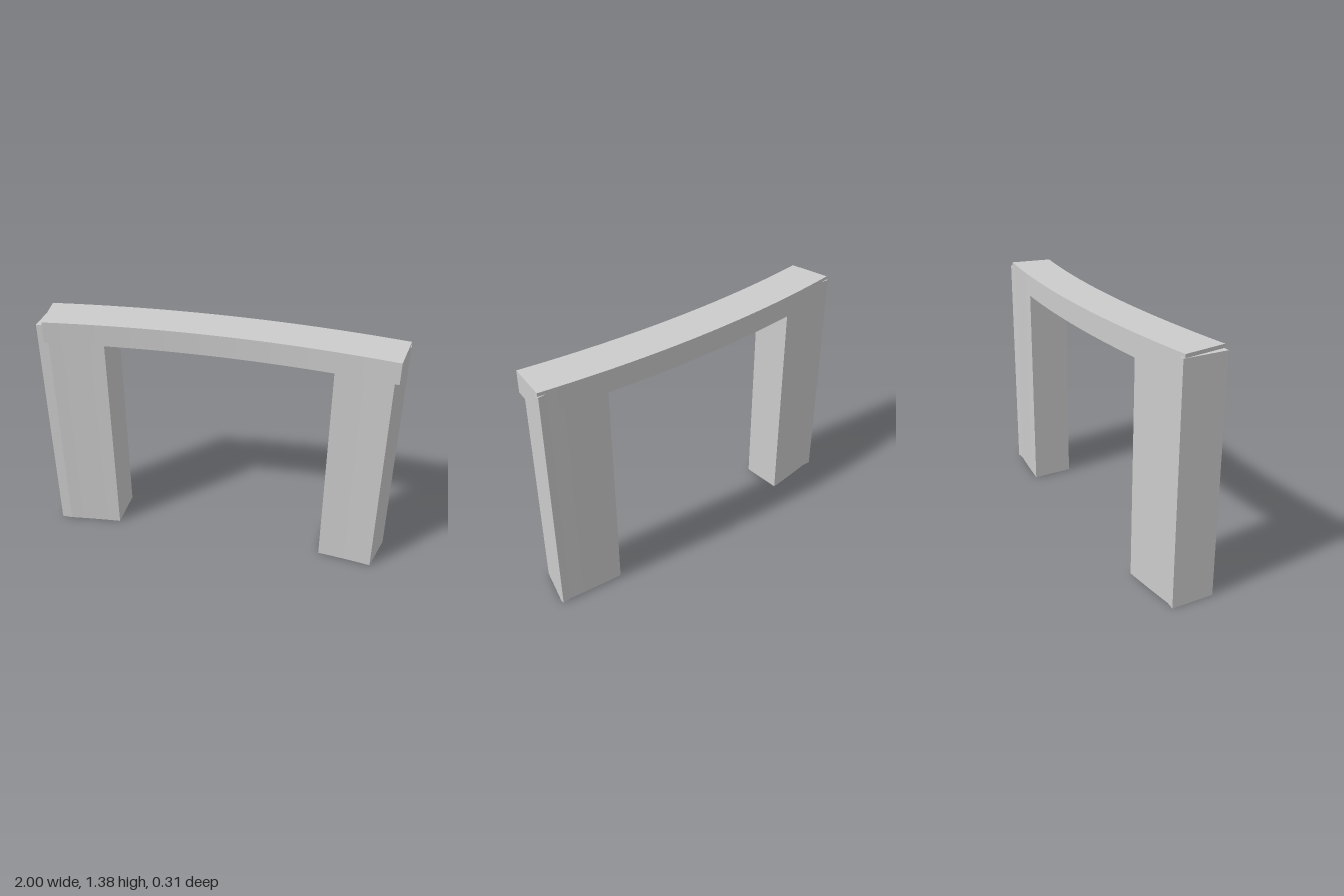
import * as THREE from 'three';

const BACK_R = 6.95, FRONT_R = 6.705, CENTRE_Z = 6.793;
const BEAM_BOTTOM = 1.25, TOP = 1.375, LEG_TOP = 1.355;

// z of an arc of radius r at a given x
const arcZ = (r, x) => CENTRE_Z - Math.sqrt(r * r - x * x);

// points along an arc from x0 to x1
function arc(r, x0, x1, n) {
  const pts = [];
  for (let i = 0; i <= n; i++) {
    const x = x0 + (x1 - x0) * i / n;
    pts.push([x, arcZ(r, x)]);
  }
  return pts;
}

// upright prism over a plan outline given as [x, z] points
function prism(name, plan, y0, y1, material) {
  const shape = new THREE.Shape(plan.map(([x, z]) => new THREE.Vector2(x, -z)));
  const geometry = new THREE.ExtrudeGeometry(shape, { depth: y1 - y0, bevelEnabled: false });
  geometry.rotateX(-Math.PI / 2);
  geometry.translate(0, y0, 0);
  const mesh = new THREE.Mesh(geometry, material);
  mesh.name = name;
  return mesh;
}

export function createModel() {
  const group = new THREE.Group();
  group.name = 'curvedArch';
  const material = new THREE.MeshStandardMaterial({ color: 0xcccccc, flatShading: true });

  // curved lintel with radial ends
  group.add(prism('lintel', [
    ...arc(FRONT_R, -0.964, 0.964, 20),
    ...arc(BACK_R, 0.999, -0.999, 20),
  ], BEAM_BOTTOM, TOP, material));

  // legs follow the same arcs, set a hair inside the lintel faces
  const inset = 0.001, inner = 0.63;
  const front = FRONT_R + inset, back = BACK_R - inset;

  // left leg with a slanted outer end
  group.add(prism('leftLeg', [
    ...arc(front, inner, 0.94, 4),
    [1, -0.07], [1, -0.095],
    ...arc(back, 0.95, inner, 4),
  ], 0, LEG_TOP, material));

  // right leg with a square outer end
  group.add(prism('rightLeg', [
    [-1, 0.153],
    ...arc(front, -0.94, -inner, 4),
    ...arc(back, -inner, -0.95, 4),
    [-1, -0.095],
  ], 0, LEG_TOP, material));

  return group;
}
